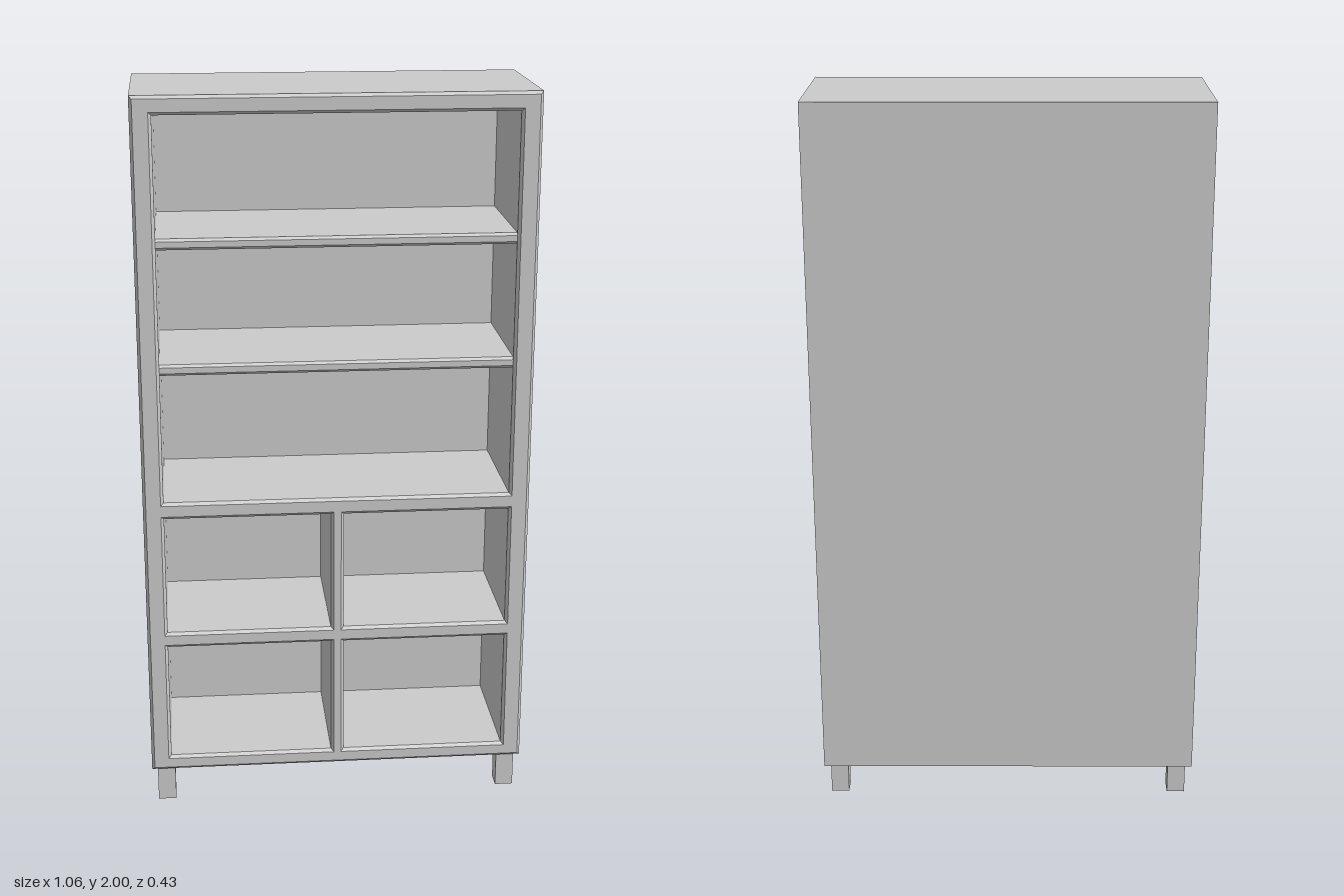
import * as THREE from 'three';

const material = new THREE.MeshStandardMaterial({ color: 0xcccccc, flatShading: true });

const HALF_W = 0.528, BOTTOM = 0.1, TOP = 2;
const BACK = -0.215, BACK_INNER = -0.148, FRONT = 0.215, CHAMFER = 0.008;
const INNER_W = 0.472, DIVIDER = 0.018;

function addMesh(parent, name, geometry, x = 0, y = 0, z = 0) {
  const mesh = new THREE.Mesh(geometry, material);
  mesh.name = name;
  mesh.position.set(x, y, z);
  parent.add(mesh);
  return mesh;
}

// Traces a rectangle into a Shape or Path
function rectangle(path, x0, y0, x1, y1) {
  path.moveTo(x0, y0).lineTo(x1, y0).lineTo(x1, y1).lineTo(x0, y1).closePath();
  return path;
}

// Frame with one wide opening over four cubbies, chamfered at the front edges
function carcassGeometry() {
  const shape = rectangle(new THREE.Shape(), -HALF_W, BOTTOM, HALF_W, TOP);
  const hole = (...r) => shape.holes.push(rectangle(new THREE.Path(), ...r));
  hole(-INNER_W, 0.908, INNER_W, 1.95);
  for (const [y0, y1] of [[0.143, 0.48], [0.524, 0.861]]) {
    hole(-INNER_W, y0, -DIVIDER, y1);
    hole(DIVIDER, y0, INNER_W, y1);
  }
  return new THREE.ExtrudeGeometry(shape, {
    depth: FRONT - CHAMFER - BACK_INNER,
    bevelEnabled: true, bevelSegments: 1,
    bevelThickness: CHAMFER, bevelSize: CHAMFER, bevelOffset: -CHAMFER,
  });
}

// Shelf profile (depth, height) with a chamfered front edge, run across the width
function shelfGeometry() {
  const front = FRONT - CHAMFER, h = 0.015, c = 0.007;
  const shape = new THREE.Shape([
    [BACK_INNER, -h], [front - c, -h], [front, -h + c],
    [front, h - c], [front - c, h], [BACK_INNER, h],
  ].map(([z, y]) => new THREE.Vector2(z, y)));
  return new THREE.ExtrudeGeometry(shape, { depth: 2 * INNER_W, bevelEnabled: false })
    .translate(0, 0, -INNER_W)
    .rotateY(-Math.PI / 2);
}

export function createModel() {
  const group = new THREE.Group();
  group.name = 'bookcase';

  addMesh(group, 'carcass', carcassGeometry(), 0, 0, BACK_INNER);

  // Thick back, which also closes the rear of the carcass
  addMesh(group, 'backPanel',
    new THREE.BoxGeometry(2 * HALF_W, TOP - BOTTOM, BACK_INNER - BACK),
    0, (TOP + BOTTOM) / 2, (BACK + BACK_INNER) / 2);

  // Two shelves in the upper opening
  const shelf = shelfGeometry();
  addMesh(group, 'lowerShelf', shelf, 0, 1.279, 0);
  addMesh(group, 'upperShelf', shelf, 0, 1.617, 0);

  // Four short square legs
  const leg = new THREE.BoxGeometry(0.05, BOTTOM, 0.05);
  for (const [side, x] of [['Left', 0.487], ['Right', -0.487]]) {
    addMesh(group, `front${side}Leg`, leg, x, BOTTOM / 2, 0.176);
    addMesh(group, `back${side}Leg`, leg, x, BOTTOM / 2, -0.159);
  }
  return group;
}
